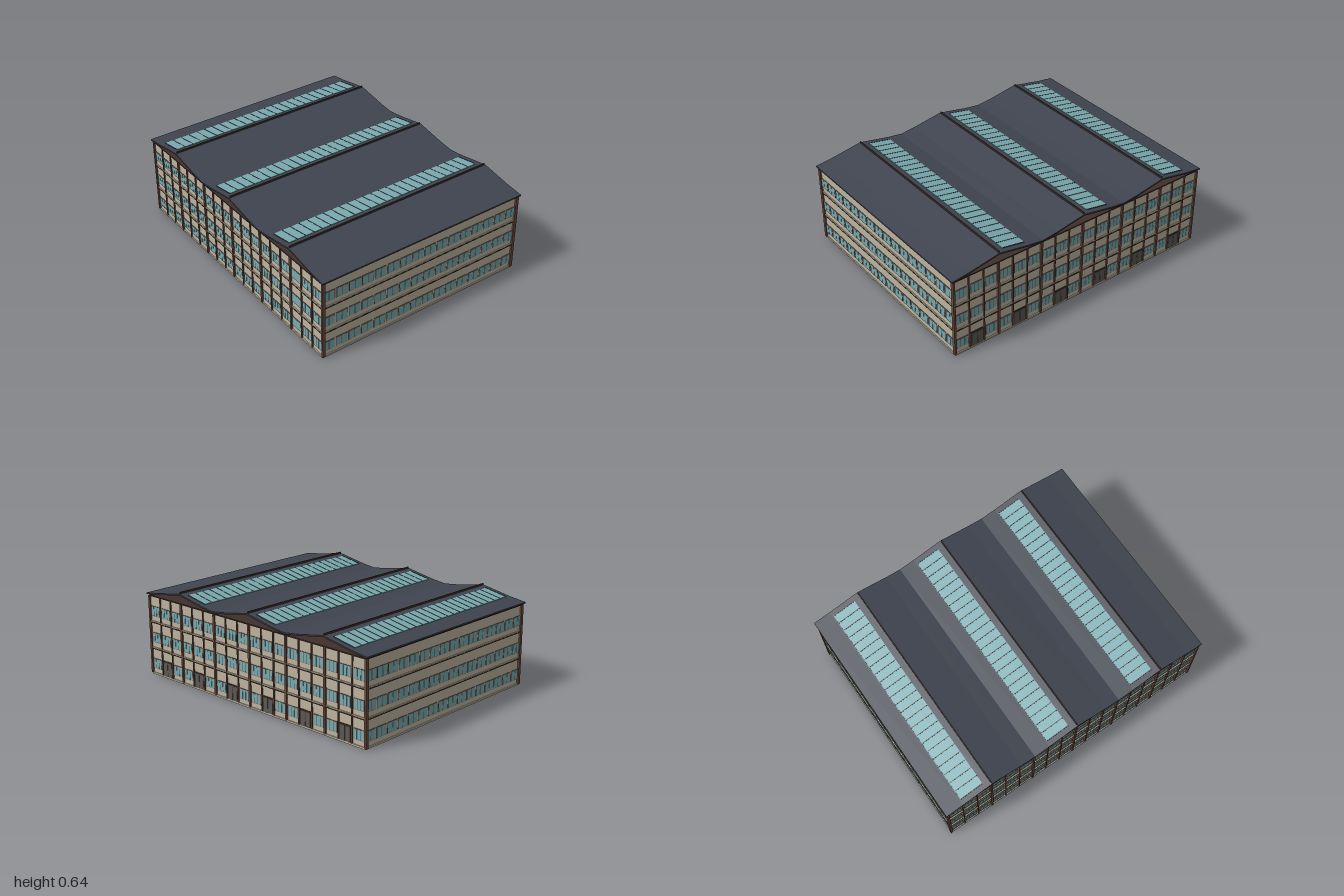
import * as THREE from 'three';
import { mergeGeometries } from 'three/addons/utils/BufferGeometryUtils.js';

const material = (name, color) => {
  const m = new THREE.MeshStandardMaterial({ color });
  m.name = name;
  return m;
};

// Box given by its centre and size
const box = (x, y, z, w, h, d) => new THREE.BoxGeometry(w, h, d).translate(x, y, z);

const HALF_X = 0.98, HALF_Z = 0.765, TOP = 0.56, FLOOR = 0.187;
const RIDGES = [-0.656, 0, 0.656], HALF_SPAN = 0.328;

// Roof height at distance u from a ridge: straight, then flatter near the valley
const roofY = u => u < 0.22 ? 0.627 - 0.18 * u : 0.5874 - 0.125 * (u - 0.22);

// Sheet following a list of [x, y] points, running the length of the building
function sheet(points, lower, upper, halfLength) {
  const outline = [
    ...points.map(([x, y]) => new THREE.Vector2(x, y + lower)),
    ...points.slice().reverse().map(([x, y]) => new THREE.Vector2(x, y + upper)),
  ];
  const g = new THREE.ExtrudeGeometry(new THREE.Shape(outline), { depth: 2 * halfLength, bevelEnabled: false });
  return g.translate(0, 0, -halfLength);
}

export function createModel() {
  const model = new THREE.Group();
  model.name = 'factoryBuilding';
  const mats = {
    wall: material('stone wall', 0xbdb39f),
    glass: material('blue glass', 0x78aab0),
    frame: material('brown frame', 0x6b483a),
    dark: material('dark brown steel', 0x3f2f2a),
    roof: material('slate roof', 0x3f444f),
    deck: material('grey deck', 0x69645d),
    door: material('grey door', 0x5c5854),
  };
  const add = (parent, name, geometries, mat) => {
    const list = Array.isArray(geometries) ? geometries : [geometries];
    const mesh = new THREE.Mesh(list.length > 1 ? mergeGeometries(list) : list[0], mat);
    mesh.name = name;
    parent.add(mesh);
  };

  // Main block and top deck
  add(model, 'walls', box(0, TOP / 2, 0, 2 * HALF_X, TOP, 2 * HALF_Z), mats.wall);
  add(model, 'topDeck', box(0, TOP + 0.001, 0, 2 * HALF_X, 0.002, 2 * HALF_Z), mats.deck);

  // Floor bands all the way round, dark beam over a thin pale ledge
  const beams = [], ledges = [];
  for (let i = 1; i <= 3; i++) {
    beams.push(box(0, i * FLOOR - 0.001, 0, 2 * HALF_X + 0.014, 0.008, 2 * HALF_Z + 0.016));
    if (i < 3) ledges.push(box(0, i * FLOOR + 0.006, 0, 2 * HALF_X + 0.012, 0.006, 2 * HALF_Z + 0.014));
  }
  ledges.push(box(0, 0.006, 0, 2 * HALF_X + 0.012, 0.012, 2 * HALF_Z + 0.014));
  add(model, 'floorBeams', beams, mats.dark);
  add(model, 'floorLedges', ledges, mats.wall);

  // One facade, built in its own plane and turned into place
  function facade(name, { width, bays, panes, columns, doors, wideBay }, distance, angle) {
    const group = new THREE.Group();
    group.name = name;
    group.rotation.y = angle;
    group.position.set(Math.sin(angle) * distance, 0, Math.cos(angle) * distance);
    const frames = [], glass = [], posts = [], doorPlates = [], doorFrames = [];
    const pitch = width / bays;
    for (let b = 0; b < bays; b++) {
      const x = -width / 2 + (b + 0.5) * pitch;
      for (let f = 0; f < 3; f++) {
        // Loading doors in the middle of every third bay
        if (doors && f === 0 && b % 3 === 1) {
          doorFrames.push(box(x, 0.062, 0, 0.096, 0.112, 0.008));
          for (const s of [-1, 1]) doorPlates.push(box(x + s * 0.022, 0.06, 0, 0.04, 0.1, 0.012));
          continue;
        }
        const y = f * FLOOR + 0.079, w = b === wideBay ? 0.092 : 0.086, h = 0.07;
        const n = b === wideBay ? 1 : panes;
        frames.push(box(x, y, 0, w, h, 0.006));
        const paneW = (w - 0.005 - (n - 1) * 0.004) / n;
        for (let p = 0; p < n; p++) {
          const px = x + (p - (n - 1) / 2) * (paneW + 0.004);
          glass.push(box(px, y, 0, paneW, h - 0.005, 0.009));
        }
      }
    }
    // Slim posts at every bay, stout ones at every third
    if (columns) for (let b = 0; b <= bays; b++) {
      const w = b % 3 ? 0.008 : 0.015;
      posts.push(box(-width / 2 + b * pitch, TOP / 2 + 0.004, 0, w, TOP - 0.008, b % 3 ? 0.016 : 0.022));
    }
    add(group, 'windowFrames', frames, mats.frame);
    add(group, 'windowPanes', glass, mats.glass);
    if (columns) add(group, 'columns', posts, mats.frame);
    if (doors) {
      add(group, 'doorFrames', doorFrames, mats.dark);
      add(group, 'doors', doorPlates, mats.door);
    }
    model.add(group);
  }
  const end = { width: 1.968, bays: 18, panes: 3, columns: true };
  const side = { width: 1.545, bays: 16, panes: 2 };
  facade('frontFacade', { ...end, wideBay: 15 }, HALF_Z, 0);
  facade('backFacade', { ...end, doors: true }, HALF_Z, Math.PI);
  facade('leftFacade', side, HALF_X, Math.PI / 2);
  facade('rightFacade', side, HALF_X, -Math.PI / 2);

  // Three-ridged roof, open at the gables
  const profile = [];
  for (const r of RIDGES) {
    for (const u of [-HALF_SPAN, -0.22, 0, 0.22]) profile.push([r + u, roofY(Math.abs(u))]);
  }
  profile[0] = [-1, roofY(0.344)];
  profile.push([1, roofY(0.344)]);
  add(model, 'roofCovering', sheet(profile, 0, 0.005, 0.782), mats.roof);
  add(model, 'roofSoffit', sheet(profile, -0.005, 0, 0.782), mats.dark);

  // Ridge fins, and beams carrying the valleys
  add(model, 'ridgeFins', RIDGES.map(r => box(r, 0.635, 0, 0.007, 0.016, 1.55)), mats.dark);
  add(model, 'valleyBeams', [-0.975, -0.328, 0.328, 0.975].map(x => box(x, 0.565, 0, 0.016, 0.009, 1.53)), mats.dark);

  // Skylight strip with glazing bars on the right slope of each ridge
  const skylights = [], bars = [];
  for (const r of RIDGES) {
    const strip = [0.213, 0.048].map(u => [r - u, roofY(u)]);
    skylights.push(sheet(strip, 0.004, 0.008, 0.745));
    for (let i = 0; i <= 24; i++) {
      const bar = new THREE.BoxGeometry(0.165, 0.003, 0.005);
      bar.rotateZ(Math.atan(0.18));
      bars.push(bar.translate(r - 0.1305, roofY(0.1305) + 0.008, -0.743 + i * 1.486 / 24));
    }
  }
  add(model, 'skylightGlass', skylights, mats.glass);
  add(model, 'skylightBars', bars, mats.dark);

  return model;
}
